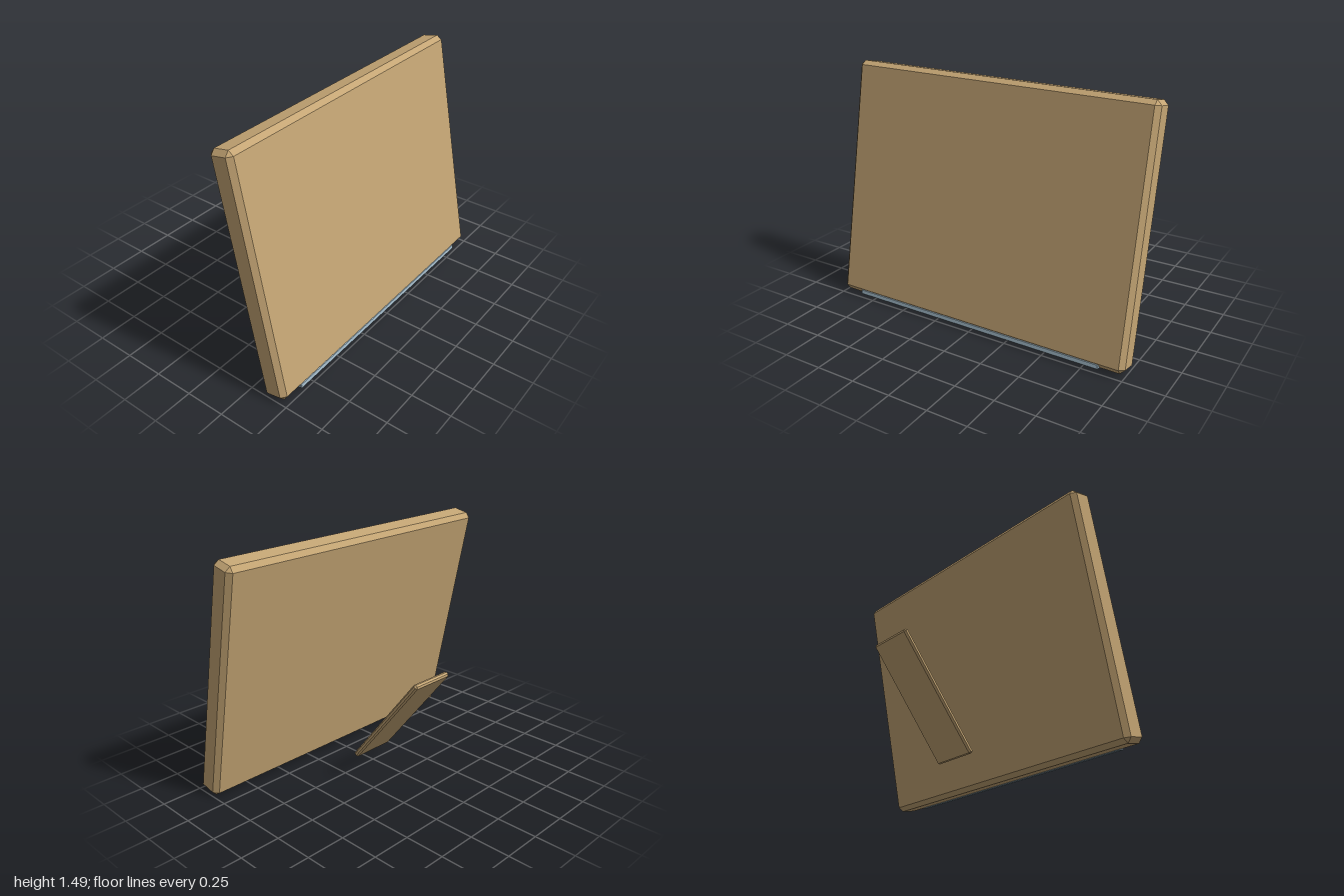
import * as THREE from 'three';
import { ConvexGeometry } from 'three/addons/geometries/ConvexGeometry.js';

// Box with flat chamfers on every edge and a triangle at every corner
function chamferBox(w, h, d, c) {
  const points = [];
  const half = [w / 2, h / 2, d / 2];
  for (const sx of [-1, 1]) for (const sy of [-1, 1]) for (const sz of [-1, 1]) {
    for (let axis = 0; axis < 3; axis++) {
      const p = half.map((v, i) => (i === axis ? v : v - c));
      points.push(new THREE.Vector3(sx * p[0], sy * p[1], sz * p[2]));
    }
  }
  return new ConvexGeometry(points);
}

function addPart(parent, name, geometry, material, x, y, z) {
  const mesh = new THREE.Mesh(geometry, material);
  mesh.name = name;
  mesh.position.set(x, y, z);
  parent.add(mesh);
  return mesh;
}

export function createModel() {
  const wood = new THREE.MeshStandardMaterial({ color: 0xc4a574 });
  wood.name = 'wood';
  const metal = new THREE.MeshStandardMaterial({ color: 0xa0b8c6 });
  metal.name = 'pale blue metal';

  const model = new THREE.Group();
  model.name = 'tiltedBoard';

  // Board leaning back, with the ledge strip along its lower front edge
  const board = new THREE.Group();
  board.name = 'board';
  board.position.set(0, 0.745, 0.268);
  board.rotation.x = -0.2;
  addPart(board, 'panel', chamferBox(2, 1.5, 0.155, 0.0285), wood, 0, 0, 0);
  addPart(board, 'ledgeStrip', chamferBox(1.7, 0.03, 0.036, 0.004), metal, 0, -0.741, 0.058);
  model.add(board);

  // Sloping support leg behind the board
  const leg = addPart(model, 'supportLeg', chamferBox(0.295, 0.805, 0.034, 0.01), wood, 0, 0.394, -0.232);
  leg.rotation.x = -0.668;

  return model;
}
